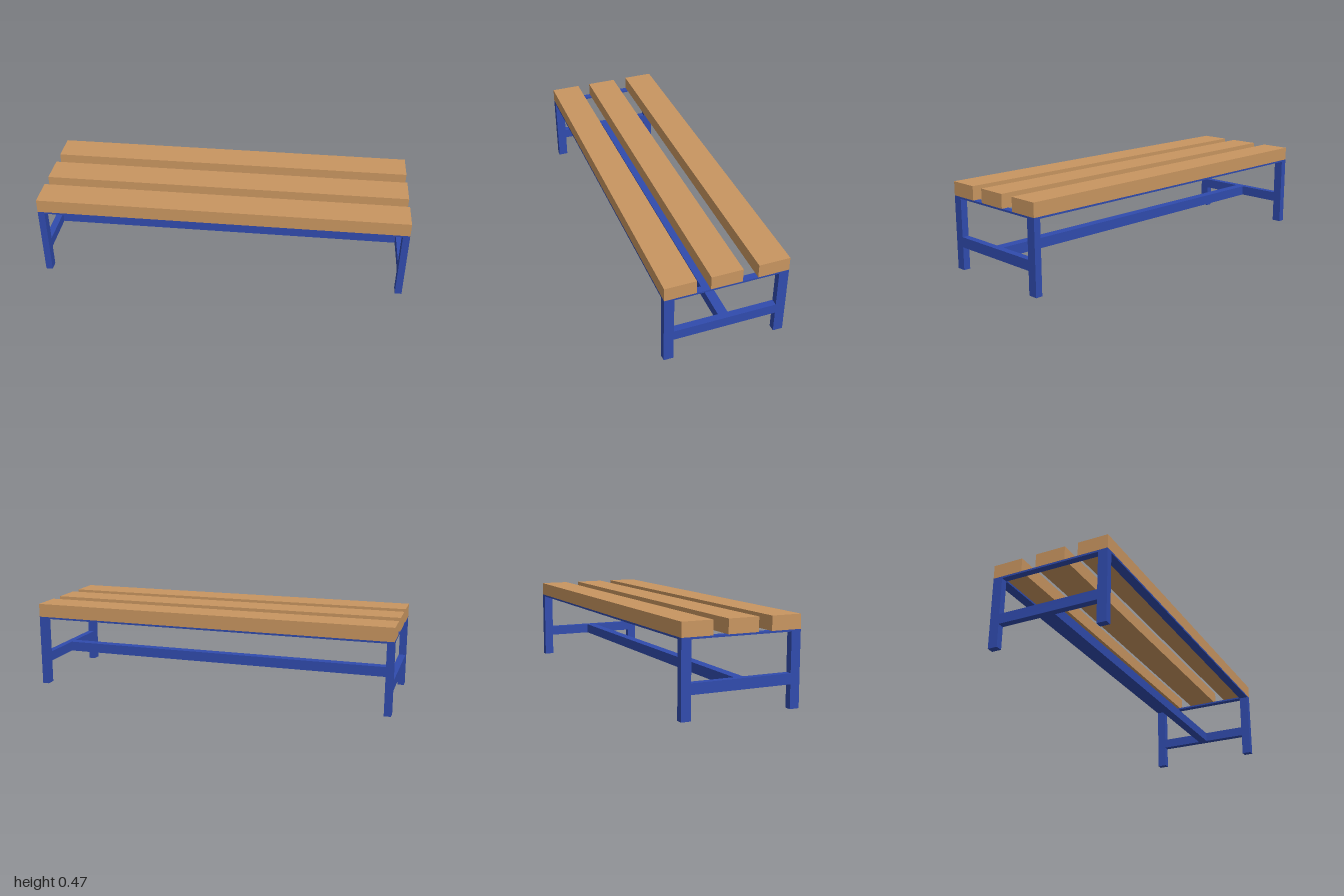
import * as THREE from 'three';

export function createModel() {
  const bench = new THREE.Group();
  bench.name = 'bench';
  const wood = new THREE.MeshStandardMaterial({ color: 0xc89560 });
  const steel = new THREE.MeshStandardMaterial({ color: 0x304bad });

  // Box given by its extents along each axis
  function bar(name, material, [x0, x1], [y0, y1], [z0, z1]) {
    const mesh = new THREE.Mesh(new THREE.BoxGeometry(x1 - x0, y1 - y0, z1 - z0), material);
    mesh.position.set((x0 + x1) / 2, (y0 + y1) / 2, (z0 + z1) / 2);
    mesh.name = name;
    bench.add(mesh);
  }
  // Extents mirrored to the given side
  const mirror = (side, a, b) => (side > 0 ? [a, b] : [-b, -a]);

  const seatY = 0.393, slatTop = 0.467;
  const halfLength = 1, halfDepth = 0.324;
  const legInX = 0.963, legInZ = 0.272;
  const topRailY = [0.383, seatY], lowRailY = [0.124, 0.179];

  // Three seat slats
  const slats = { frontSlat: [0.16, halfDepth], middleSlat: [-0.078, 0.087], backSlat: [-halfDepth, -0.159] };
  for (const [name, z] of Object.entries(slats)) {
    bar(name, wood, [-halfLength, halfLength], [seatY, slatTop], z);
  }

  // End frames: legs, lower cross rail and thin top cross rail
  for (const sx of [1, -1]) {
    const end = sx > 0 ? 'left' : 'right';
    const x = mirror(sx, legInX, halfLength);
    for (const sz of [1, -1]) {
      bar(`${end}${sz > 0 ? 'Front' : 'Back'}Leg`, steel, x, [0, seatY], mirror(sz, legInZ, halfDepth));
    }
    bar(`${end}LowerRail`, steel, x, lowRailY, [-legInZ, legInZ]);
    bar(`${end}TopRail`, steel, x, topRailY, [-legInZ, legInZ]);
  }

  // Thin long rails under the front and back slats
  for (const sz of [1, -1]) {
    bar(sz > 0 ? 'frontTopRail' : 'backTopRail', steel, [-legInX, legInX], topRailY, mirror(sz, legInZ, halfDepth));
  }

  // Central stretcher between the end frames
  bar('stretcher', steel, [-legInX, legInX], lowRailY, [-0.026, 0.026]);

  return bench;
}
